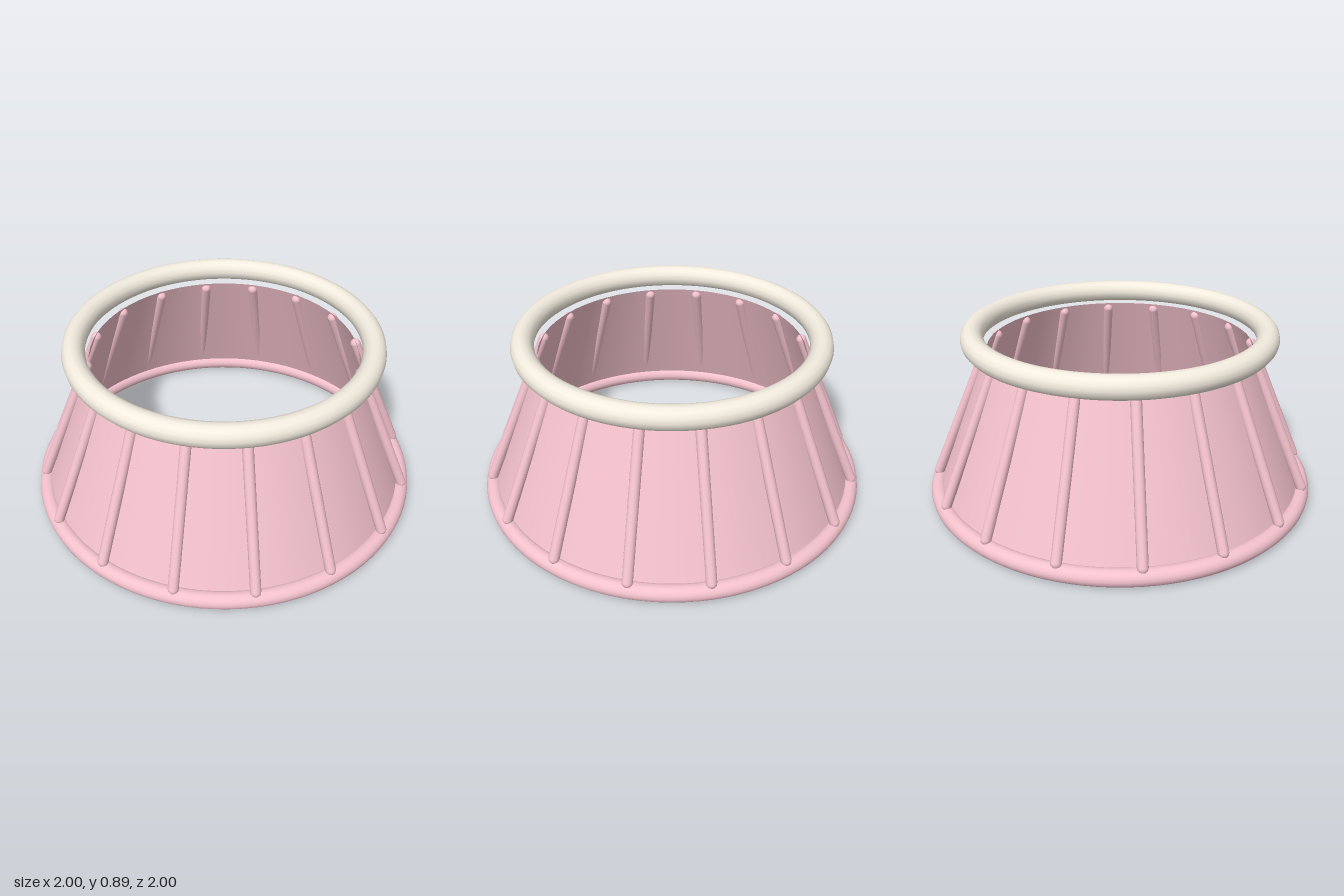
import * as THREE from 'three';

const pink = new THREE.MeshStandardMaterial({ color: 0xf4c2cd });
const pinkOpen = new THREE.MeshStandardMaterial({ color: 0xf4c2cd, side: THREE.DoubleSide });
const cream = new THREE.MeshStandardMaterial({ color: 0xf3ecdf });

function addPart(group, name, geometry, material) {
  const mesh = new THREE.Mesh(geometry, material);
  mesh.name = name;
  group.add(mesh);
  return mesh;
}

// Horizontal ring resting in the xz plane at height y
function addRing(group, name, radius, tube, y, material) {
  const geometry = new THREE.TorusGeometry(radius, tube, 14, 96).rotateX(Math.PI / 2);
  addPart(group, name, geometry, material).position.y = y;
}

export function createModel() {
  const skirt = new THREE.Group();
  skirt.name = 'flaredSkirt';

  // Thin flared wall, open at both ends
  const wall = [new THREE.Vector2(0.958, 0.02), new THREE.Vector2(0.666, 0.775)];
  addPart(skirt, 'wall', new THREE.LatheGeometry(wall, 96), pinkOpen);

  addRing(skirt, 'hem', 0.958, 0.042, 0.042, pink);
  addRing(skirt, 'waistband', 0.733, 0.057, 0.833, cream);

  // Round-ended pleats lying along the wall, showing inside and outside
  const low = new THREE.Vector3(0, 0.09, 0.96);
  const high = new THREE.Vector3(0, 0.741, 0.678);
  const axis = high.clone().sub(low);
  const pleat = new THREE.CapsuleGeometry(0.026, axis.length(), 5, 12);
  pleat.rotateX(Math.atan2(axis.z, axis.y));
  pleat.translate(0, (low.y + high.y) / 2, (low.z + high.z) / 2);

  const pleats = new THREE.Group();
  pleats.name = 'pleats';
  const count = 16;
  for (let i = 0; i < count; i++) {
    addPart(pleats, 'pleat', pleat, pink).rotation.y = (i / count) * Math.PI * 2;
  }
  skirt.add(pleats);

  return skirt;
}
